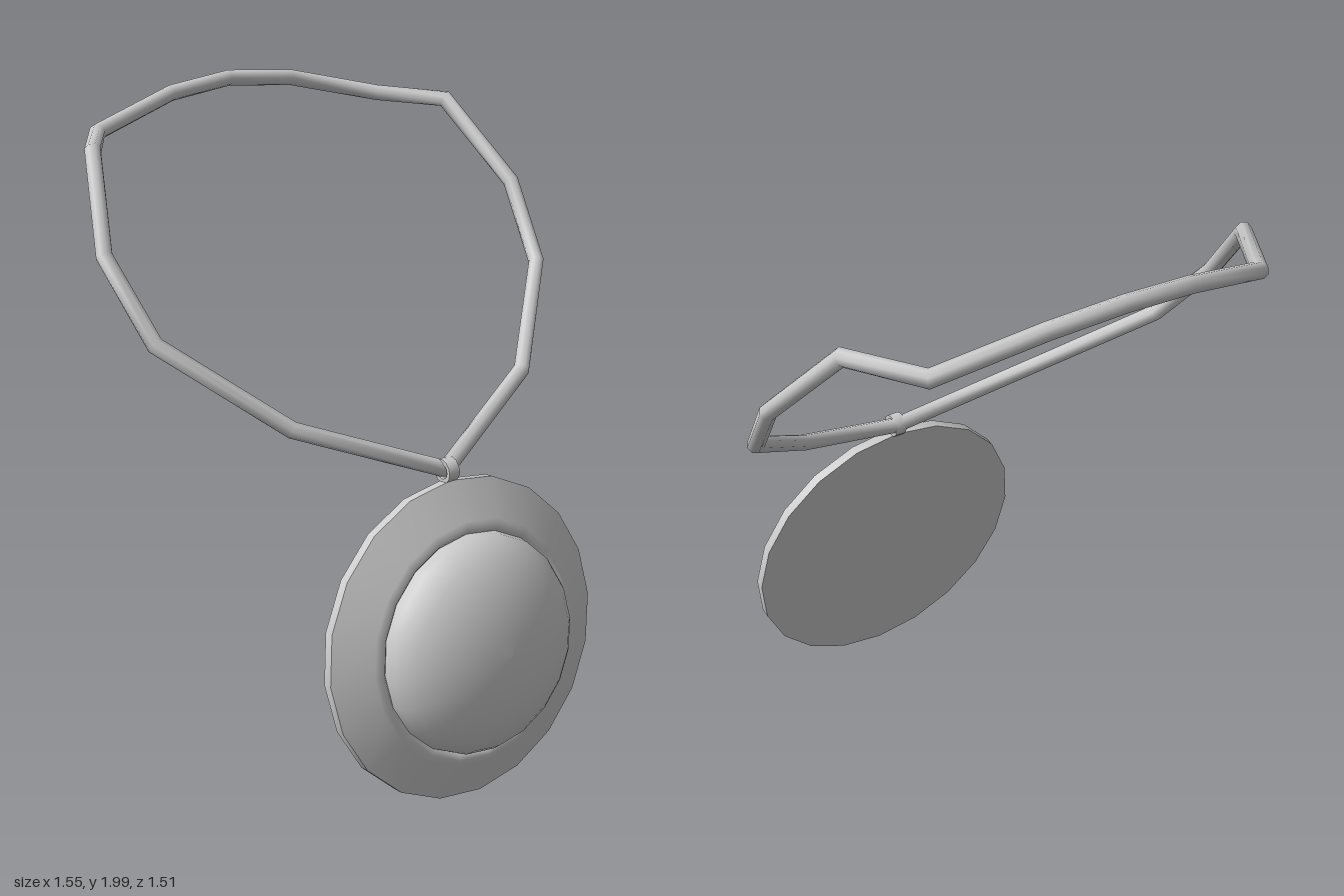
import * as THREE from 'three';
import { toCreasedNormals } from 'three/addons/utils/BufferGeometryUtils.js';

const V2 = (x, y) => new THREE.Vector2(x, y);

// Closed, mitred tube through a loop of points
function loopTube(points, radius, sides) {
  const n = points.length, pos = [], index = [];
  const ref = new THREE.Vector3(0, 0.77, 0.64);
  points.forEach((p, i) => {
    const into = p.clone().sub(points[(i + n - 1) % n]).normalize();
    const out = points[(i + 1) % n].clone().sub(p).normalize();
    const t = into.clone().add(out).normalize();
    const bend = out.clone().sub(into).normalize();
    const stretch = 1 / t.dot(out) - 1;
    const b = t.clone().cross(ref).normalize();
    const up = b.clone().cross(t);
    for (let j = 0; j < sides; j++) {
      const a = (j / sides) * Math.PI * 2;
      const r = b.clone().multiplyScalar(Math.cos(a) * radius).addScaledVector(up, Math.sin(a) * radius);
      r.addScaledVector(bend, r.dot(bend) * stretch).add(p);
      pos.push(r.x, r.y, r.z);
      const k = (j + 1) % sides, m = (i + 1) % n;
      const A = i * sides + j, B = m * sides + j, C = m * sides + k, D = i * sides + k;
      index.push(A, B, D, B, C, D);
    }
  });
  const geo = new THREE.BufferGeometry();
  geo.setAttribute('position', new THREE.Float32BufferAttribute(pos, 3));
  geo.setIndex(index);
  geo.computeVertexNormals();
  return geo;
}

export function createModel() {
  const model = new THREE.Group();
  model.name = 'pendantNecklace';
  const material = new THREE.MeshStandardMaterial({ color: 0xcccccc });
  const add = (parent, name, geo) => {
    const mesh = new THREE.Mesh(geo, material);
    mesh.name = name;
    parent.add(mesh);
    return mesh;
  };

  // Cord: one half from the bail to the nape, mirrored to the other side
  const half = [
    [0, 1.01, 0.42], [0.425, 1.18, 0.255], [0.705, 1.415, -0.01], [0.75, 1.635, -0.2],
    [0.65, 1.88, -0.43], [0.525, 1.882, -0.64], [0.225, 1.955, -0.71], [0, 1.975, -0.73],
  ].map((p) => new THREE.Vector3(...p));
  const mirrored = half.slice(1, -1).reverse().map((p) => new THREE.Vector3(-p.x, p.y, p.z));
  add(model, 'cord', loopTube([...half, ...mirrored], 0.025, 8));

  // Bail: a small band around the cord
  const band = [V2(0.024, -0.019), V2(0.037, -0.019), V2(0.037, 0.019), V2(0.024, 0.019), V2(0.024, -0.019)];
  const bail = add(model, 'bail', toCreasedNormals(new THREE.LatheGeometry(band, 12), 0.6));
  bail.rotation.z = Math.PI / 2;
  bail.position.set(0, 1.01, 0.425);

  // Medallion, leaning back at the top
  const medallion = new THREE.Group();
  medallion.name = 'medallion';
  medallion.rotation.x = THREE.MathUtils.degToRad(80);
  medallion.position.set(0, 0.494, 0.5);
  model.add(medallion);

  // Disc: flat back, thin rim, sloping face with a rounded inner lip
  const disc = [
    V2(0, 0), V2(0.492, 0), V2(0.492, 0.032), V2(0.375, 0.086),
    V2(0.358, 0.093), V2(0.345, 0.091), V2(0.335, 0.08), V2(0.33, 0.06),
  ];
  add(medallion, 'disc', toCreasedNormals(new THREE.LatheGeometry(disc, 20), 0.75));

  // Domed stone
  const dome = [V2(0.335, 0.06)];
  for (let i = 0; i <= 8; i++) {
    const a = (i / 8) * Math.PI / 2;
    dome.push(V2(i === 8 ? 0 : 0.337 * Math.cos(a), 0.085 + 0.166 * Math.sin(a)));
  }
  add(medallion, 'stone', new THREE.LatheGeometry(dome, 20));

  return model;
}
